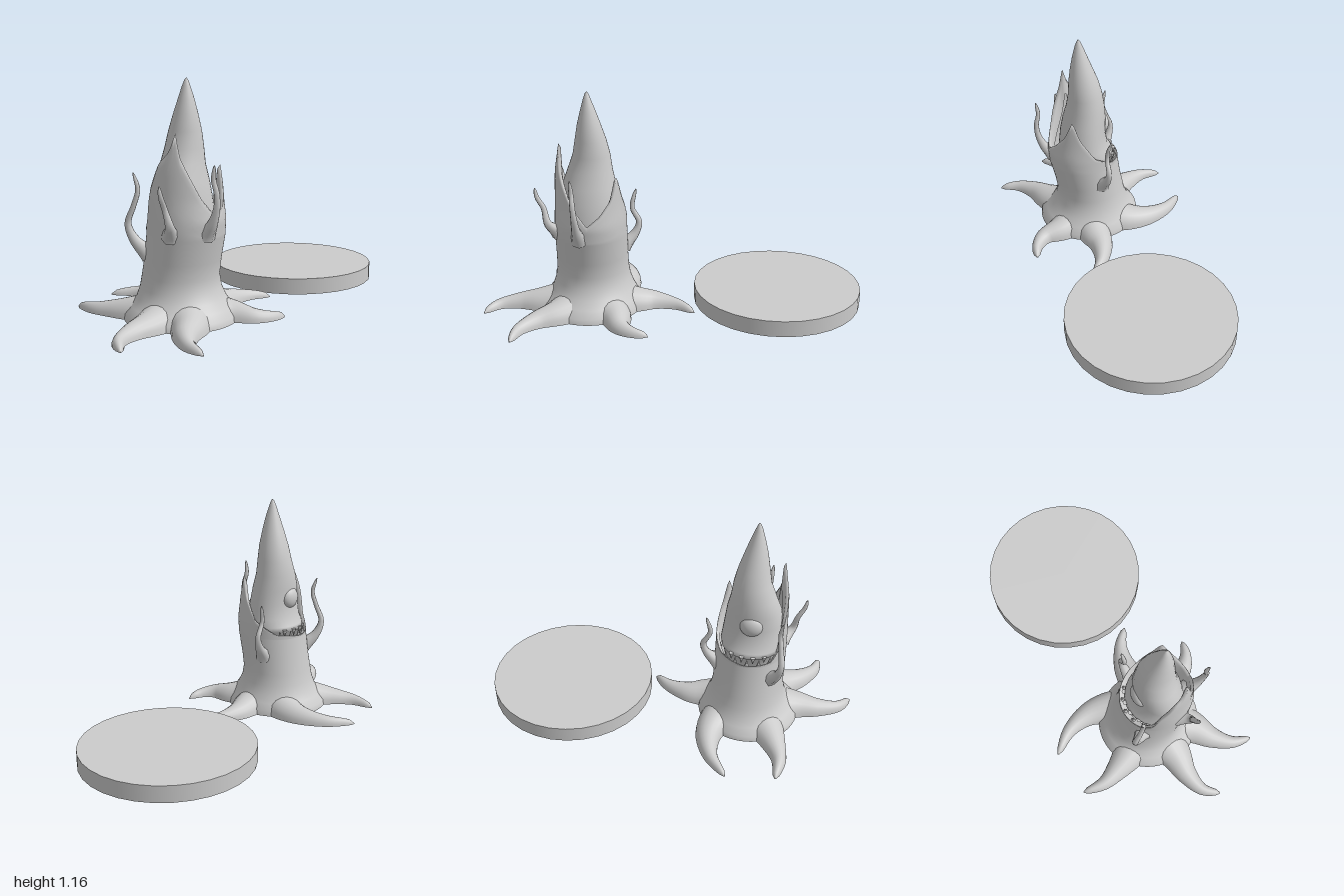
import * as THREE from 'three';

const V = (x, y, z) => new THREE.Vector3(x, y, z);
const material = new THREE.MeshStandardMaterial({ color: 0xcccccc, side: THREE.DoubleSide });

// Piecewise-linear lookup: rows are [key, a, b, ...]
function sample(rows, key) {
  let i = 1;
  while (i < rows.length - 1 && rows[i][0] < key) i++;
  const p = rows[i - 1], q = rows[i];
  const t = THREE.MathUtils.clamp((key - p[0]) / (q[0] - p[0]), 0, 1);
  return p.map((v, k) => v + (q[k] - v) * t).slice(1);
}

// Skin closed rings that run counter-clockwise around the direction of travel
function loft(rings, capStart, capEnd) {
  const n = rings[0].length, pos = [], index = [];
  rings.forEach(r => r.forEach(p => pos.push(p.x, p.y, p.z)));
  for (let i = 0; i < rings.length - 1; i++) {
    for (let j = 0; j < n; j++) {
      const k = (j + 1) % n, a = i * n + j, b = i * n + k;
      index.push(a, b, b + n, a, b + n, a + n);
    }
  }
  const cap = (ring, flip) => {
    const start = pos.length / 3, c = V(0, 0, 0);
    ring.forEach(p => { pos.push(p.x, p.y, p.z); c.addScaledVector(p, 1 / n); });
    pos.push(c.x, c.y, c.z);
    for (let j = 0; j < n; j++) {
      const a = start + j, b = start + (j + 1) % n;
      if (flip) index.push(b, a, start + n); else index.push(a, b, start + n);
    }
  };
  if (capStart) cap(rings[0], true);
  if (capEnd) cap(rings[rings.length - 1], false);
  const g = new THREE.BufferGeometry();
  g.setAttribute('position', new THREE.Float32BufferAttribute(pos, 3));
  g.setIndex(index);
  g.computeVertexNormals();
  return g;
}

// Trunk and collar sections: y, centre x, radius x, centre z, radius z
const TRUNK = [
  [0.005, 0.04, 0.285, 0.44, 0.275], [0.035, 0.04, 0.28, 0.44, 0.27],
  [0.07, 0.04, 0.25, 0.435, 0.245], [0.11, 0.035, 0.222, 0.43, 0.218],
  [0.16, 0.032, 0.2, 0.43, 0.2], [0.22, 0.033, 0.19, 0.43, 0.19],
  [0.3, 0.047, 0.188, 0.43, 0.188], [0.42, 0.068, 0.193, 0.43, 0.188],
  [0.5, 0.07, 0.198, 0.43, 0.187], [0.6, 0.06, 0.195, 0.43, 0.183],
  [0.75, 0.06, 0.19, 0.43, 0.177], [0.92, 0.06, 0.18, 0.43, 0.16],
];
// Collar rim height by angle in degrees, from +x towards +z
const RIM = [
  [-180, 0.43], [-130, 0.45], [-95, 0.52], [-70, 0.64], [-57, 0.76], [-42, 0.65], [-20, 0.57],
  [0, 0.52], [25, 0.62], [45, 0.74], [56, 0.81], [64, 0.92], [74, 0.83], [90, 0.78],
  [108, 0.66], [122, 0.5], [140, 0.44], [180, 0.43],
];
// Head sections: y, min x, max x, min z, max z
const HEAD = [
  [0.36, -0.04, 0.2, 0.29, 0.57], [0.43, -0.06, 0.2, 0.28, 0.58], [0.455, -0.1, 0.2, 0.275, 0.59],
  [0.48, -0.09, 0.2, 0.27, 0.6], [0.52, -0.068, 0.2, 0.275, 0.597], [0.6, -0.056, 0.19, 0.285, 0.59],
  [0.68, -0.06, 0.175, 0.295, 0.575], [0.76, -0.055, 0.155, 0.312, 0.545], [0.84, -0.042, 0.145, 0.322, 0.515],
  [0.92, -0.022, 0.14, 0.34, 0.5], [1.0, 0.008, 0.128, 0.365, 0.485], [1.07, 0.034, 0.114, 0.388, 0.467],
  [1.13, 0.056, 0.098, 0.41, 0.45], [1.16, 0.069, 0.087, 0.421, 0.439], [1.17, 0.078, 0.08, 0.429, 0.431],
];

function around(y, deg, scale = 1) {
  const [cx, rx, cz, rz] = sample(TRUNK, y), a = THREE.MathUtils.degToRad(deg);
  return V(cx + Math.cos(a) * rx * scale, y, cz + Math.sin(a) * rz * scale);
}

// Trunk flaring at the foot and rising into a collar with two spikes
function trunkGeometry() {
  const n = 90, degs = Array.from({ length: n }, (_, j) => 180 - (j * 360) / n);
  const rings = TRUNK.slice(0, 8).map(r => degs.map(d => around(r[0], d)));
  for (let s = 1; s <= 10; s++) {
    rings.push(degs.map(d => around(THREE.MathUtils.lerp(0.42, sample(RIM, d)[0], s / 10), d, s === 10 ? 0.985 : 1)));
  }
  // Rim folds inward for thickness
  rings.push(degs.map(d => around(sample(RIM, d)[0] - 0.02, d, 0.9)));
  rings.push(degs.map(d => around(Math.max(0.4, sample(RIM, d)[0] - 0.14), d, 0.82)));
  return loft(rings, true, false);
}

function headGeometry() {
  const n = 32;
  const rings = HEAD.map(([y, x0, x1, z0, z1]) => Array.from({ length: n }, (_, j) => {
    const a = (j / n) * Math.PI * 2;
    return V((x0 + x1) / 2 + Math.cos(a) * (x1 - x0) / 2, y, (z0 + z1) / 2 - Math.sin(a) * (z1 - z0) / 2);
  }));
  return loft(rings, true, true);
}

// Foot arm: domed section with a flat sole, tapering along a curled path
function footArmGeometry(path) {
  const curve = new THREE.CatmullRomCurve3(path.map(([x, z]) => V(x, 0, z)));
  const rings = [], steps = 20;
  for (let i = 0; i <= steps; i++) {
    const t = i / steps, p = curve.getPointAt(t), side = V(0, 1, 0).cross(curve.getTangentAt(t));
    const round = Math.sqrt(Math.max(0.02, 1 - t ** 16));
    const w = (0.022 + 0.12 * (1 - t) ** 1.5) * round, h = (0.033 + 0.1 * (1 - t) ** 1.4) * round;
    const ring = [];
    for (let k = 0; k <= 10; k++) {
      const a = (Math.PI * k) / 10;
      ring.push(V(p.x, 0.005 + h * Math.sin(a), p.z).addScaledVector(side, w * Math.cos(a)));
    }
    rings.push([...ring, ring[10].clone(), ring[0].clone()]);
  }
  return loft(rings, true, true);
}

// Tentacle: tube with a broad root and a thin tip
function tentacleGeometry(path) {
  const curve = new THREE.CatmullRomCurve3(path.map(p => V(...p)));
  const steps = 24, n = 8, f = curve.computeFrenetFrames(steps), rings = [];
  for (let i = 0; i <= steps; i++) {
    const t = i / steps, p = curve.getPointAt(t);
    const r = (0.013 + 0.035 * (1 - t) ** 4) * Math.sqrt(Math.max(0.03, 1 - t ** 8));
    rings.push(Array.from({ length: n }, (_, j) => {
      const a = (j / n) * Math.PI * 2;
      return p.clone().addScaledVector(f.normals[i], Math.cos(a) * r).addScaledVector(f.binormals[i], Math.sin(a) * r);
    }));
  }
  return loft(rings, true, true);
}

export function createModel() {
  const model = new THREE.Group();
  const creature = new THREE.Group();
  creature.name = 'creature';
  model.add(creature);
  const add = (name, geometry, parent = creature) => {
    const mesh = new THREE.Mesh(geometry, material);
    mesh.name = name;
    parent.add(mesh);
    return mesh;
  };

  add('trunk', trunkGeometry());
  add('head', headGeometry());

  const eye = add('eye', new THREE.SphereGeometry(0.06, 24, 16));
  eye.scale.x = 0.65;
  eye.position.set(-0.042, 0.63, 0.435);

  // Six curled arms spread on the ground, as x, z paths
  [
    [[0.06, 0.33], [0.07, 0.2], [0.065, 0.1], [0.1, -0.02], [0.17, -0.11]],
    [[0.13, 0.37], [0.25, 0.3], [0.36, 0.265], [0.415, 0.2], [0.435, 0.12]],
    [[0.14, 0.5], [0.24, 0.6], [0.31, 0.7], [0.4, 0.775], [0.505, 0.8]],
    [[0.06, 0.55], [0.08, 0.7], [0.085, 0.82], [0.12, 0.93], [0.2, 0.995]],
    [[-0.04, 0.5], [-0.15, 0.57], [-0.25, 0.62], [-0.35, 0.655], [-0.475, 0.65]],
    [[-0.02, 0.37], [-0.13, 0.29], [-0.25, 0.265], [-0.39, 0.3], [-0.51, 0.395]],
  ].forEach(p => add('footArm', footArmGeometry(p)));

  // Four tentacles rising from the trunk sides
  [
    [[-0.06, 0.32, 0.55], [-0.12, 0.39, 0.59], [-0.145, 0.47, 0.61], [-0.115, 0.56, 0.6], [-0.095, 0.64, 0.59], [-0.115, 0.72, 0.6]],
    [[0.12, 0.44, 0.59], [0.16, 0.5, 0.64], [0.15, 0.58, 0.66], [0.155, 0.64, 0.69], [0.155, 0.69, 0.7]],
    [[0.23, 0.44, 0.47], [0.28, 0.5, 0.48], [0.312, 0.58, 0.485], [0.316, 0.65, 0.49], [0.302, 0.71, 0.495], [0.312, 0.78, 0.5]],
    [[0.01, 0.32, 0.27], [-0.005, 0.39, 0.205], [-0.01, 0.45, 0.185], [-0.01, 0.53, 0.22], [-0.02, 0.63, 0.2]],
  ].forEach(p => add('tentacle', tentacleGeometry(p)));

  // Teeth alternate up from the jaw and down from the lip
  for (let i = 0; i < 9; i++) {
    const up = i % 2 === 0;
    const tooth = add('tooth', new THREE.ConeGeometry(0.013, 0.045, 6));
    tooth.position.copy(around(0.44, 138 + i * 10.5, up ? 0.92 : 0.87));
    tooth.position.y = up ? 0.44 : 0.445;
    if (!up) tooth.rotation.x = Math.PI;
  }

  // Round slab lying behind
  const slab = add('disc', new THREE.CylinderGeometry(0.445, 0.445, 0.085, 32), model);
  slab.position.set(-0.005, 0.0575, -0.555);
  return model;
}
